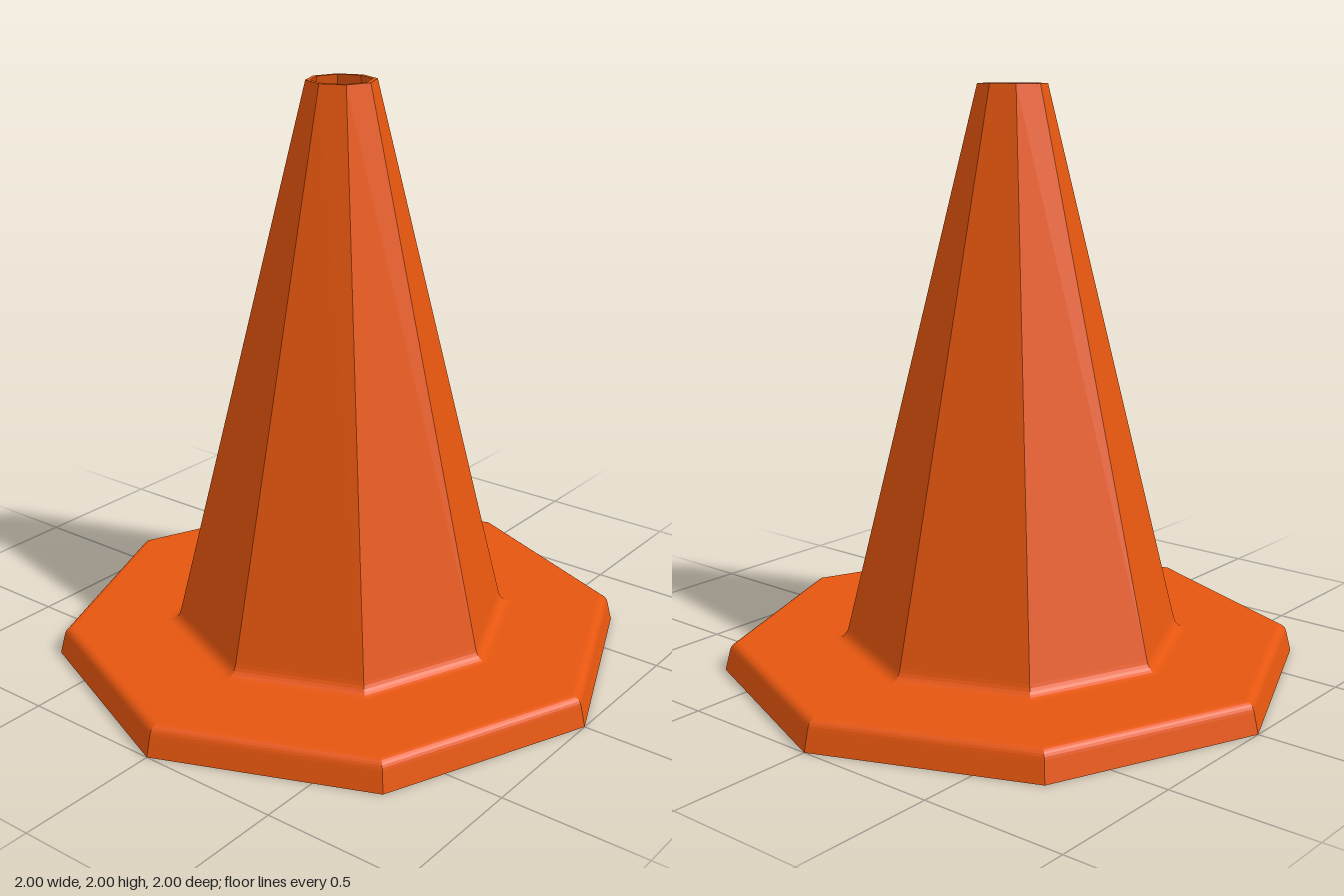
import * as THREE from 'three';

const SIDES = 8;
const STEPS = 6;

// Rounded profile corner running from a to b around the sharp point c
function fillet(a, c, b) {
  const v = (p) => new THREE.Vector2(p[0], p[1]);
  return new THREE.QuadraticBezierCurve(v(a), v(c), v(b)).getPoints(STEPS);
}

export function createModel() {
  const orange = new THREE.MeshStandardMaterial({ color: 0xe6560f, flatShading: true });
  orange.name = 'orange';

  // Outer skin, bottom to top: base rim, base plate, cone
  const outer = [
    new THREE.Vector2(1, 0),
    ...fillet([0.983, 0.07], [0.976, 0.1], [0.945, 0.1]),
    ...fillet([0.622, 0.1], [0.583, 0.1], [0.573, 0.14]),
    new THREE.Vector2(0.117, 2),
  ];

  // Inner skin, top to bottom, leaving a thin hollow wall
  const inner = [
    new THREE.Vector2(0.101, 2),
    ...fillet([0.556, 0.14], [0.569, 0.084], [0.618, 0.084]),
    ...fillet([0.945, 0.084], [0.963, 0.084], [0.967, 0.066]),
    new THREE.Vector2(0.984, 0),
  ];

  // Closed profile turned into an eight-sided shell, open at top and bottom
  const profile = [...outer, ...inner, outer[0].clone()];
  const shell = new THREE.Mesh(new THREE.LatheGeometry(profile, SIDES), orange);
  shell.name = 'coneShell';

  const group = new THREE.Group();
  group.name = 'trafficCone';
  group.add(shell);
  return group;
}
